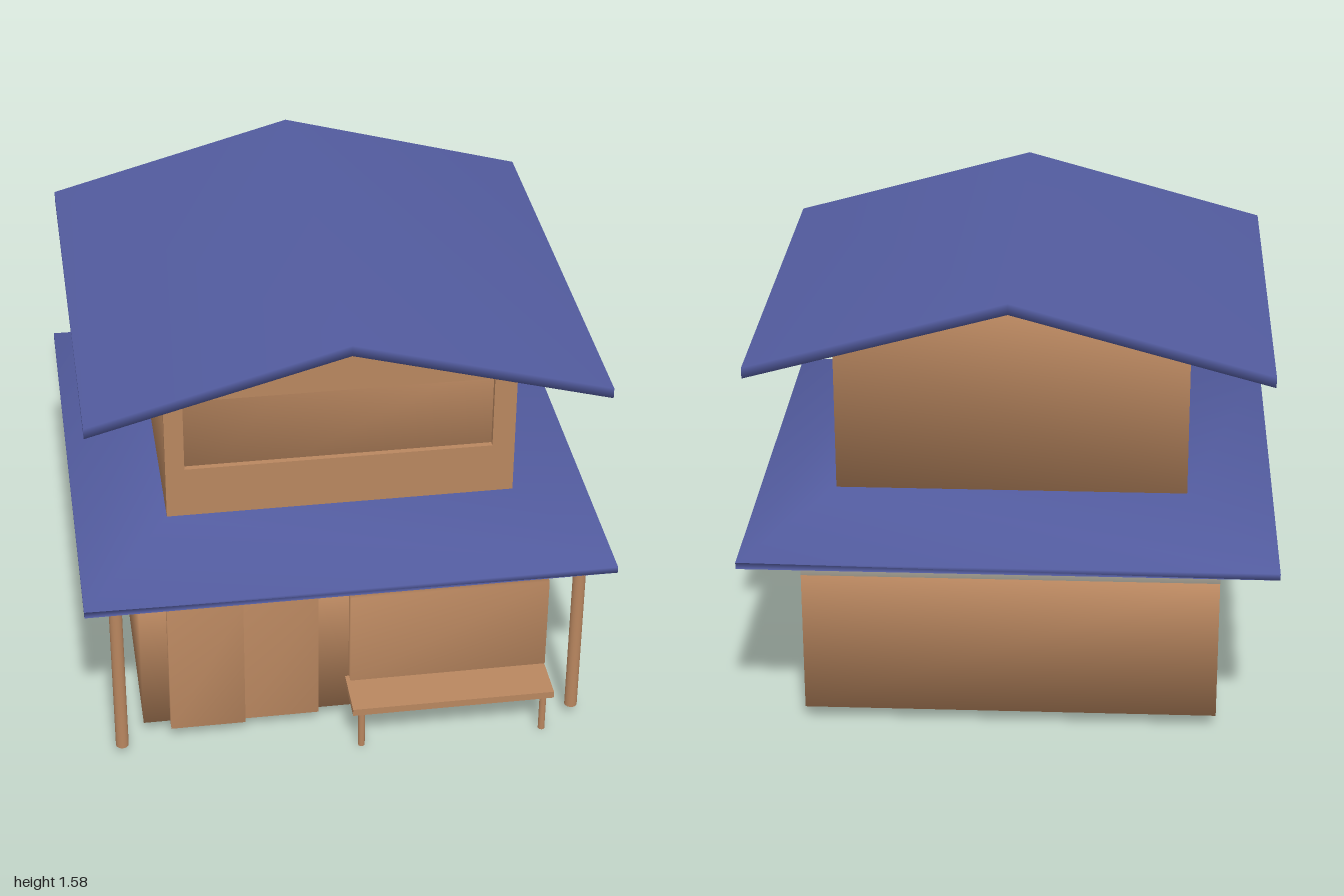
import * as THREE from 'three';
import { mergeVertices } from 'three/addons/utils/BufferGeometryUtils.js';

const wood = new THREE.MeshStandardMaterial({ color: 0xb8865f });
const tile = new THREE.MeshStandardMaterial({ color: 0x525b9e });
const plaster = new THREE.MeshStandardMaterial({ color: 0xf3ecda });

// Shares corner normals so that faces blend softly into each other
function soften(geometry) {
  geometry.deleteAttribute('normal');
  geometry.deleteAttribute('uv');
  const merged = mergeVertices(geometry, 1e-4);
  merged.computeVertexNormals();
  return merged;
}

function polygon(points) {
  return new THREE.Shape(points.map(([x, y]) => new THREE.Vector2(x, y)));
}

// Extrusion of a front outline from z0 to z1
function slab(shape, z0, z1) {
  return new THREE.ExtrudeGeometry(shape, { depth: z1 - z0, bevelEnabled: false }).translate(0, 0, z0);
}

// Box given by its limits
function block(x0, x1, y0, y1, z0, z1) {
  return new THREE.BoxGeometry(x1 - x0, y1 - y0, z1 - z0)
    .translate((x0 + x1) / 2, (y0 + y1) / 2, (z0 + z1) / 2);
}

export function createModel() {
  const house = new THREE.Group();
  house.name = 'house';
  const add = (name, geometry, material) => {
    const mesh = new THREE.Mesh(geometry, material);
    mesh.name = name;
    house.add(mesh);
  };

  // Ground floor and the plaster band above it
  const g = 0.705;
  add('groundFloor', soften(block(-g, g, 0.05, 0.555, -g, g)), wood);
  add('plasterBand', soften(block(-g, g, 0.555, 0.755, -g, g)), plaster);

  // Two overlapping sliding doors and the wide shop window
  add('outerDoor', soften(block(-0.613, -0.355, 0.05, 0.555, 0.69, 0.75)), wood);
  add('innerDoor', soften(block(-0.355, -0.096, 0.05, 0.555, 0.69, 0.73)), wood);
  add('shopWindow', soften(block(0.012, 0.698, 0.19, 0.545, 0.69, 0.748)), wood);

  // Bench under the window
  add('benchSeat', block(0, 0.7, 0.152, 0.178, 0.69, 0.892), wood);
  for (const x of [0.034, 0.669]) {
    add('benchLeg', new THREE.CylinderGeometry(0.012, 0.012, 0.155, 12).translate(x, 0.0775, 0.863), wood);
  }

  // Posts carrying the front corners of the lower roof
  for (const side of [-1, 1]) {
    add('post', new THREE.CylinderGeometry(0.022, 0.022, 0.675, 16).translate(side * 0.787, 0.3775, 0.796), wood);
  }

  // Lower roof: a four-sided sloping skirt of constant thickness
  const skirt = [[0.58, 0.806], [0.8925, 0.667], [0.8925, 0.69], [0.589, 0.832], [0.58, 0.832], [0.58, 0.806]]
    .map(([half, y]) => new THREE.Vector2(half * Math.SQRT2, y));
  add('lowerRoof', soften(new THREE.LatheGeometry(skirt, 4, Math.PI / 4)), tile);

  // Upper floor with gables, its front wall cut by a shallow window niche
  const u = 0.589;
  const gable = () => polygon([[-u, 0.8], [u, 0.8], [u, 1.385], [0, 1.545], [-u, 1.385]]);
  add('upperFloor', soften(slab(gable(), -u, u - 0.02)), wood);
  const front = gable();
  front.holes.push(polygon([[-0.525, 1.015], [-0.525, 1.28], [0.513, 1.28], [0.513, 1.015]]));
  add('upperFrontWall', slab(front, u - 0.02, u), wood);

  // Upper gable roof
  const w = 0.858;
  const roof = polygon([[-w, 1.308], [0, 1.542], [w, 1.308], [w, 1.345], [0, 1.58], [-w, 1.345]]);
  add('upperRoof', soften(slab(roof, -0.805, 0.805)), tile);

  // The whole house stands slightly turned
  house.rotation.y = 0.129;
  const model = new THREE.Group();
  model.name = 'twoStoreyHouse';
  model.add(house);
  return model;
}
